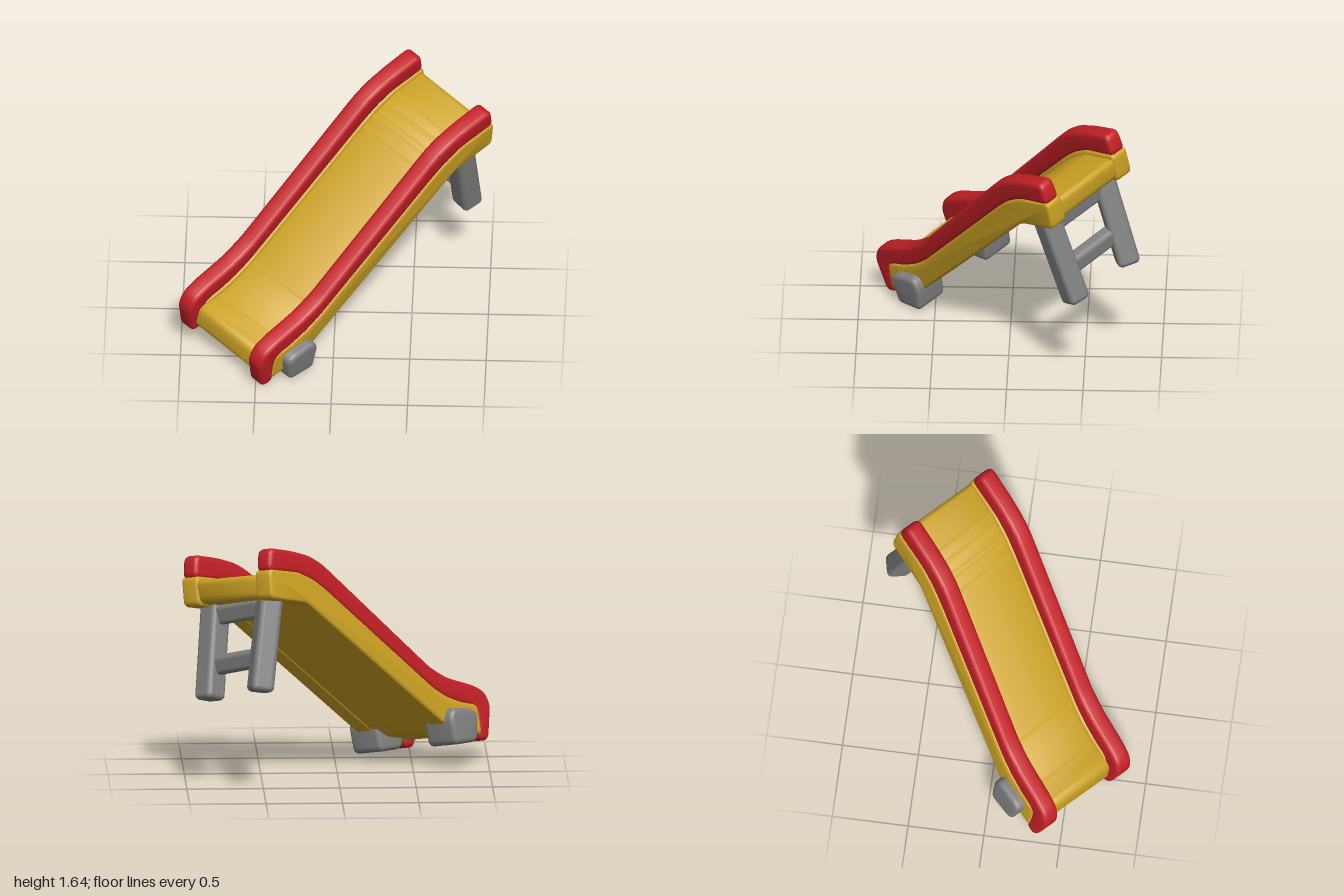
import * as THREE from 'three';
import { toCreasedNormals } from 'three/addons/utils/BufferGeometryUtils.js';
import { RoundedBoxGeometry } from 'three/addons/geometries/RoundedBoxGeometry.js';

const red = new THREE.MeshStandardMaterial({ color: 0xc32026 });
red.name = 'red plastic';
const yellow = new THREE.MeshStandardMaterial({ color: 0xcda324 });
yellow.name = 'yellow plastic';
const gray = new THREE.MeshStandardMaterial({ color: 0x808080 });
gray.name = 'gray plastic';

// Slide frame: x runs up the slide, y is up, z runs across; the whole toy is turned and tilted.
const frame = new THREE.Matrix4().makeBasis(
  new THREE.Vector3(0.704, -0.010, -0.712),
  new THREE.Vector3(0.149, 0.980, 0.133),
  new THREE.Vector3(0.732, -0.200, 0.651)
).setPosition(-0.091, 0.025, -0.081);

// Closed outline with every corner rounded by up to r
function roundedShape(pts, r) {
  const p = pts.map(([x, y]) => new THREE.Vector2(x, y));
  const shape = new THREE.Shape();
  p.forEach((c, i) => {
    const prev = p[(i + p.length - 1) % p.length];
    const next = p[(i + 1) % p.length];
    const toward = (q) => {
      const d = q.clone().sub(c);
      return c.clone().addScaledVector(d, Math.min(r / d.length(), 0.46));
    };
    const a = toward(prev), b = toward(next);
    if (i === 0) shape.moveTo(a.x, a.y);
    else shape.lineTo(a.x, a.y);
    shape.quadraticCurveTo(c.x, c.y, b.x, b.y);
  });
  shape.closePath();
  return shape;
}

// Side profile extruded across the slide between z0 and z1, with soft edges
function slab(pts, z0, z1, corner, bevel) {
  const geo = new THREE.ExtrudeGeometry(roundedShape(pts, corner), {
    depth: z1 - z0 - 2 * bevel, curveSegments: 5,
    bevelEnabled: true, bevelThickness: bevel, bevelSize: bevel, bevelOffset: -bevel, bevelSegments: 4
  });
  geo.translate(0, 0, z0 + bevel);
  return toCreasedNormals(geo, 0.8);
}

// Soft-edged square beam from a to b
function beam(a, b, sx, sz, r) {
  const from = new THREE.Vector3(...a), to = new THREE.Vector3(...b);
  const dir = to.clone().sub(from);
  const geo = new RoundedBoxGeometry(sx, dir.length(), sz, 4, r);
  geo.applyQuaternion(new THREE.Quaternion().setFromUnitVectors(new THREE.Vector3(0, 1, 0), dir.clone().normalize()));
  const mid = from.add(to).multiplyScalar(0.5);
  return geo.translate(mid.x, mid.y, mid.z);
}

export function createModel() {
  const model = new THREE.Group();
  model.name = 'slide';
  const add = (name, geo, mat) => {
    const mesh = new THREE.Mesh(geo.applyMatrix4(frame), mat);
    mesh.name = name;
    model.add(mesh);
  };

  // Handrail side profile: hooked exit end, long slope, level top end
  const rail = [
    [-0.92, 0.04], [-0.99, 0.27], [-0.955, 0.365], [-0.86, 0.42], [-0.75, 0.46], [-0.62, 0.51], [-0.49, 0.595],
    [0.37, 1.42], [0.48, 1.49], [0.63, 1.545], [0.84, 1.60], [0.885, 1.45],
    [0.61, 1.39], [0.48, 1.32], [0.375, 1.235],
    [-0.48, 0.45], [-0.59, 0.375], [-0.715, 0.318], [-0.82, 0.29], [-0.845, 0.23], [-0.825, 0.06]
  ];
  // Yellow side wall below the handrail
  const wall = [
    [-0.86, 0.29], [-0.715, 0.33], [-0.59, 0.385], [-0.48, 0.46],
    [0.375, 1.245], [0.48, 1.33], [0.61, 1.40], [0.885, 1.465], [0.905, 1.27],
    [0.58, 1.19], [-0.47, 0.26], [-0.60, 0.15], [-0.86, 0.09]
  ];
  // Sliding surface with rounded exit lip
  const bed = [
    [-0.905, 0.09], [-0.90, 0.26], [-0.72, 0.30], [-0.59, 0.355], [-0.48, 0.43],
    [0.375, 1.215], [0.48, 1.30], [0.61, 1.375], [0.885, 1.44], [0.885, 1.28],
    [0.58, 1.20], [-0.47, 0.27], [-0.60, 0.16]
  ];
  // Front foot block
  const foot = [[-0.74, 0.06], [-0.785, 0.24], [-0.74, 0.28], [-0.56, 0.31], [-0.52, 0.25], [-0.53, 0.07]];

  add('bed', slab(bed, -0.30, 0.30, 0.05, 0.02), yellow);
  for (const [side, s] of [['left', 1], ['right', -1]]) {
    const across = (a, b) => (s > 0 ? [a, b] : [-b, -a]);
    add(side + 'Handrail', slab(rail, ...across(0.26, 0.382), 0.05, 0.03), red);
    add(side + 'Wall', slab(wall, ...across(0.25, 0.386), 0.04, 0.02), yellow);
    add(side + 'Foot', slab(foot, ...across(0.20, 0.45), 0.04, 0.03), gray);
  }

  // Leaning ladder under the top end
  add('leftLadderLeg', beam([0.715, 1.27, 0.275], [0.905, 0.645, 0.284], 0.15, 0.155, 0.035), gray);
  add('rightLadderLeg', beam([0.755, 1.30, -0.24], [0.94, 0.67, -0.19], 0.15, 0.155, 0.035), gray);
  add('topCrossbar', beam([0.735, 1.18, 0.28], [0.77, 1.21, -0.24], 0.11, 0.13, 0.03), gray);
  add('ladderRung', beam([0.83, 0.86, 0.28], [0.855, 0.89, -0.2], 0.10, 0.13, 0.035), gray);

  return model;
}
